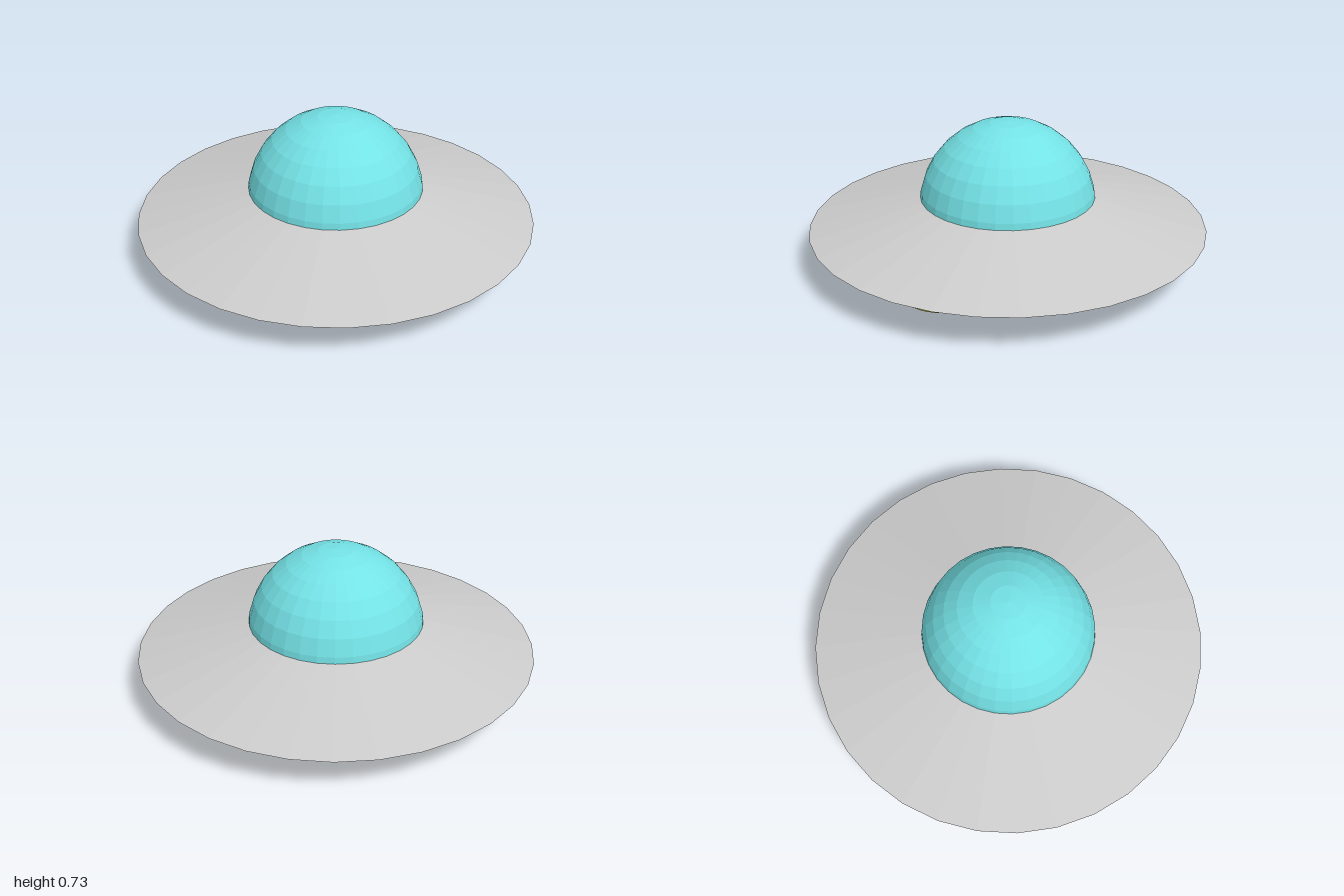
import * as THREE from 'three';

const SIDES = 32;
const RIM_Y = 0.195;

function part(name, geometry, color) {
  const material = new THREE.MeshStandardMaterial({ color, flatShading: true });
  const mesh = new THREE.Mesh(geometry, material);
  mesh.name = name;
  return mesh;
}

export function createModel() {
  const saucer = new THREE.Group();
  saucer.name = 'flyingSaucer';

  // Shallow conical hull with a flat underside
  const hullHeight = 0.26;
  const hull = part('hull', new THREE.ConeGeometry(1, hullHeight, SIDES), 0xcccccc);
  hull.position.y = RIM_Y + hullHeight / 2;
  saucer.add(hull);

  // Cockpit dome, its lower edge sunk into the hull
  const domeGeometry = new THREE.SphereGeometry(0.445, SIDES, 8, 0, Math.PI * 2, 0, Math.PI / 2);
  const dome = part('dome', domeGeometry, 0x74e2e6);
  dome.position.y = 0.287;
  saucer.add(dome);

  // Four round landing pods, just the lower caps of spheres
  const podRadius = 0.336;
  const capAngle = Math.PI * 0.375;
  const podGeometry = new THREE.SphereGeometry(podRadius, SIDES, 6, 0, Math.PI * 2, Math.PI - capAngle, capAngle);
  ['frontPod', 'leftPod', 'backPod', 'rightPod'].forEach((name, i) => {
    const angle = (i * Math.PI) / 2;
    const pod = part(name, podGeometry, 0xd4d82e);
    pod.position.set(0.605 * Math.sin(angle), podRadius, 0.605 * Math.cos(angle));
    saucer.add(pod);
  });

  return saucer;
}
